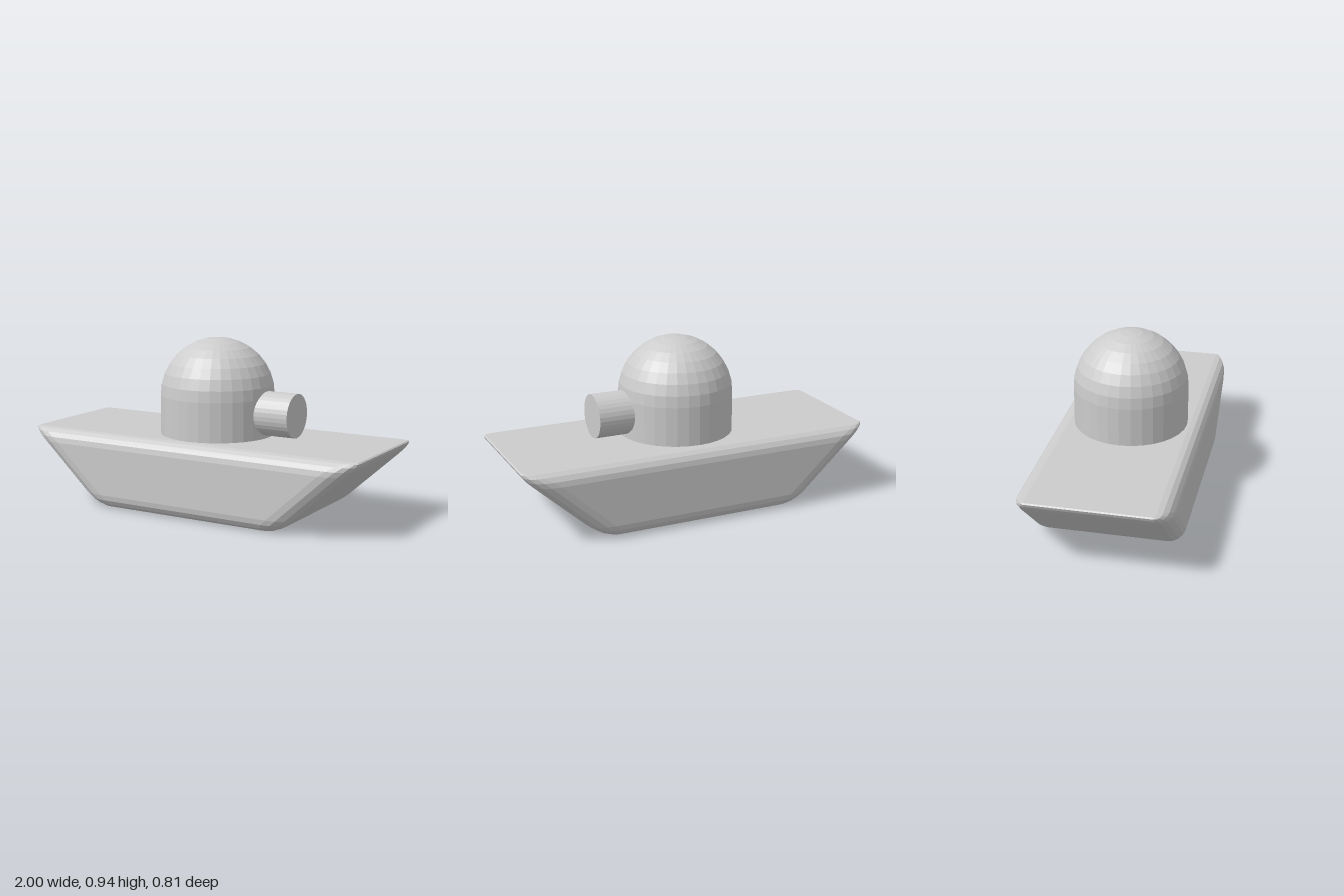
import * as THREE from 'three';

const DECK = 0.415, BEVEL = 0.075, STEPS = 4;

// Gives every face its own normals for a faceted look
function faceted(geometry) {
  const flat = geometry.index ? geometry.toNonIndexed() : geometry;
  flat.computeVertexNormals();
  return flat;
}

// Horizontal rounded-rectangle ring of the hull
function hullRing(y, hx, hz) {
  const cz = 0.325, rz = hz - cz, rx = rz * 1.7;
  const ring = [];
  for (let corner = 0; corner < 4; corner++) {
    const sx = corner === 0 || corner === 3 ? 1 : -1;
    const sz = corner < 2 ? 1 : -1;
    for (let k = 0; k <= STEPS; k++) {
      const a = (corner + k / STEPS) * Math.PI / 2;
      ring.push([sx * (hx - rx) + rx * Math.cos(a), y, sz * cz + rz * Math.sin(a)]);
    }
  }
  return ring;
}

// Hull with ends sloping out towards the deck and bevelled edges
function hullGeometry() {
  const rings = [];
  const addRing = (y, a, cut) => {
    const s = Math.sin(a);
    rings.push(hullRing(y, 0.573 + 1.1 * y - cut * (1 - s), 0.33 + BEVEL * s));
  };
  for (let k = 0; k <= STEPS; k++) {
    const a = k / STEPS * Math.PI / 2;
    addRing(BEVEL * (1 - Math.cos(a)), a, 0.073);
  }
  for (let k = STEPS; k >= 0; k--) {
    const a = k / STEPS * Math.PI / 2;
    addRing(DECK - BEVEL * (1 - Math.cos(a)), a, 0.035);
  }
  const points = [];
  const n = rings[0].length;
  const last = rings.length - 1;
  for (let j = 0; j < n; j++) {
    const m = (j + 1) % n;
    for (let i = 0; i < last; i++) {
      const a = rings[i][j], b = rings[i][m], c = rings[i + 1][j], d = rings[i + 1][m];
      points.push(...a, ...c, ...b, ...b, ...c, ...d);
    }
    points.push(0, DECK, 0, ...rings[last][m], ...rings[last][j]);
    points.push(0, 0, 0, ...rings[0][j], ...rings[0][m]);
  }
  const geometry = new THREE.BufferGeometry();
  geometry.setAttribute('position', new THREE.Float32BufferAttribute(points, 3));
  return faceted(geometry);
}

export function createModel() {
  const model = new THREE.Group();
  model.name = 'domedVehicle';
  const grey = new THREE.MeshStandardMaterial({ color: 0xcccccc });
  grey.name = 'lightGrey';

  const add = (name, geometry, x, y) => {
    const mesh = new THREE.Mesh(geometry, grey);
    mesh.name = name;
    mesh.position.set(x, y, 0);
    model.add(mesh);
  };

  add('hull', hullGeometry(), 0, 0);

  // Turret: upright wall with a half-sphere on top
  const R = 0.315, wallTop = 0.63, wallBottom = 0.38;
  add('turretWall',
    faceted(new THREE.CylinderGeometry(R, R, wallTop - wallBottom, 32, 1, true)),
    0, (wallTop + wallBottom) / 2);
  add('turretDome',
    faceted(new THREE.SphereGeometry(R, 32, 8, 0, Math.PI * 2, 0, Math.PI / 2).rotateY(Math.PI / 2)),
    0, wallTop);

  // Short barrel pointing along +x
  add('barrel',
    faceted(new THREE.CylinderGeometry(0.12, 0.12, 0.29, 32).rotateZ(-Math.PI / 2)),
    0.345, 0.55);

  return model;
}
